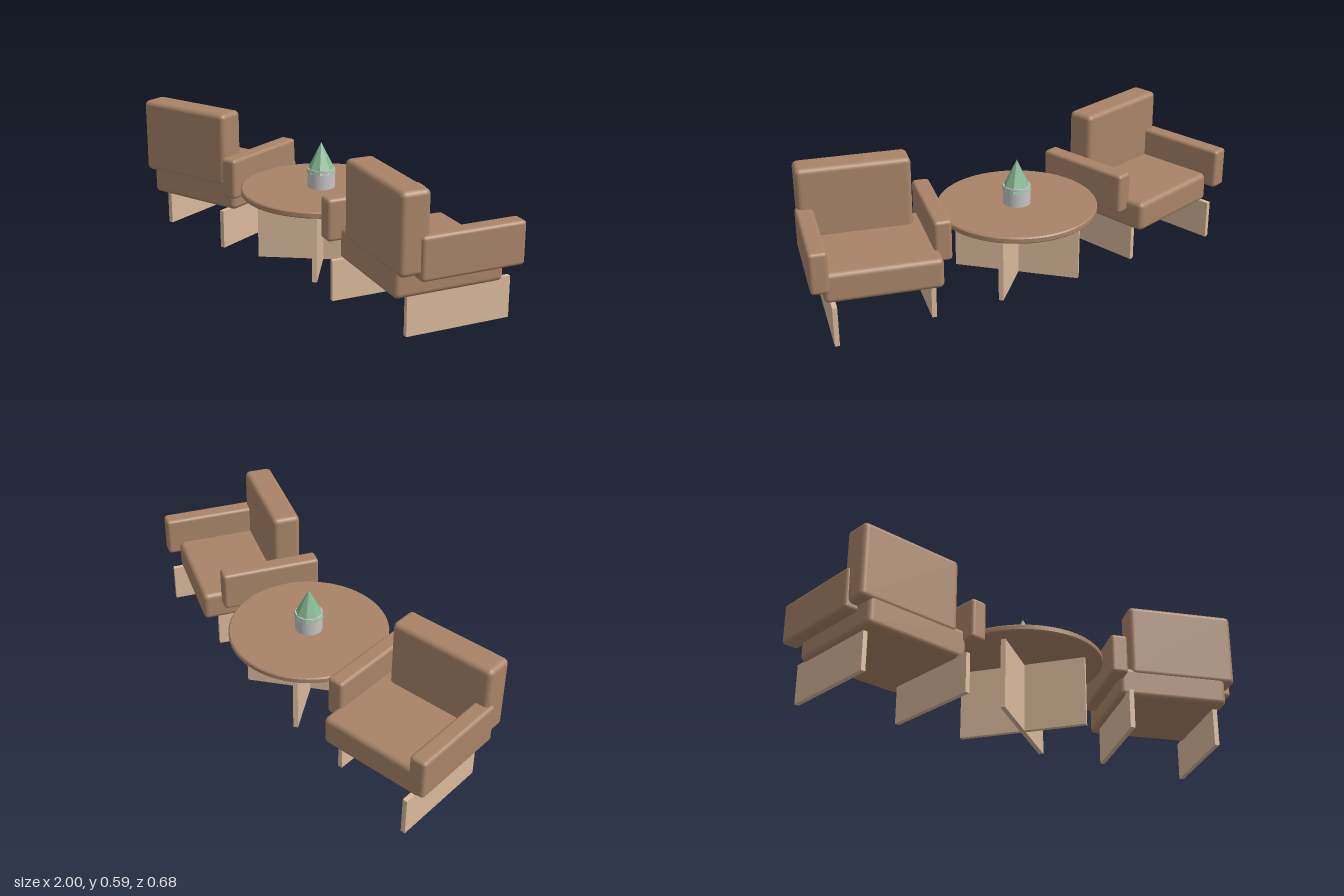
import * as THREE from 'three';
import { toCreasedNormals } from 'three/addons/utils/BufferGeometryUtils.js';
import { RoundedBoxGeometry } from 'three/addons/geometries/RoundedBoxGeometry.js';

const TURN = Math.PI / 12;

function material(name, color, flatShading = false) {
  const m = new THREE.MeshStandardMaterial({ color, flatShading });
  m.name = name;
  return m;
}

export function createModel() {
  const brown = material('brown', 0xa98467);
  const tan = material('tan', 0xd9b99b);
  const grey = material('grey', 0xc4c4c4);
  const green = material('green', 0x84b791, true);

  const model = new THREE.Group();
  model.name = 'loungeSet';

  function add(parent, name, geometry, mat, x, y, z, turn = 0) {
    const mesh = new THREE.Mesh(geometry, mat);
    mesh.name = name;
    mesh.position.set(x, y, z);
    mesh.rotation.y = turn;
    parent.add(mesh);
    return mesh;
  }
  const cushion = (w, h, d, r) => new RoundedBoxGeometry(w, h, d, 4, r);

  // Shared armchair parts
  const seat = cushion(0.476, 0.13, 0.462, 0.022);
  const back = cushion(0.468, 0.325, 0.122, 0.022);
  const arm = cushion(0.074, 0.176, 0.4375, 0.015);
  const leg = new THREE.BoxGeometry(0.02, 0.17, 0.442);

  // Two mirrored armchairs; each part is turned in place
  for (const s of [1, -1]) {
    const chair = new THREE.Group();
    chair.name = s > 0 ? 'leftArmchair' : 'rightArmchair';
    const turn = -s * TURN;
    add(chair, 'seat', seat, brown, s * 0.6465, 0.229, 0.04, turn);
    add(chair, 'backrest', back, brown, s * 0.6475, 0.426, 0.22, turn);
    add(chair, 'innerArm', arm, brown, s * 0.384, 0.328, 0.042, turn);
    add(chair, 'outerArm', arm, brown, s * 0.911, 0.328, 0.042, turn);
    add(chair, 'innerLeg', leg, tan, s * 0.434, 0.085, 0.043, turn);
    add(chair, 'outerLeg', leg, tan, s * 0.859, 0.085, 0.043, turn);
    model.add(chair);
  }

  // Round table on a crossed-panel base
  const table = new THREE.Group();
  table.name = 'table';
  const profile = [[0, 0.3], [0.335, 0.3], [0.34, 0.305], [0.34, 0.322], [0.335, 0.327], [0, 0.327]]
    .map(([x, y]) => new THREE.Vector2(x, y));
  const top = toCreasedNormals(new THREE.LatheGeometry(profile, 64), 0.5);
  add(table, 'tableTop', top, brown, 0, 0, 0);
  const panel = new THREE.BoxGeometry(0.545, 0.302, 0.02);
  for (const s of [1, -1]) add(table, 'basePanel', panel, tan, 0, 0.151, 0, s * Math.PI / 4);
  model.add(table);

  // Potted plant in the middle of the table
  const plant = new THREE.Group();
  plant.name = 'plant';
  add(plant, 'pot', new THREE.CylinderGeometry(0.058, 0.058, 0.084, 32), grey, 0, 0.367, 0);
  add(plant, 'foliage', new THREE.ConeGeometry(0.064, 0.13, 8), green, 0, 0.457, 0);
  model.add(plant);

  return model;
}
